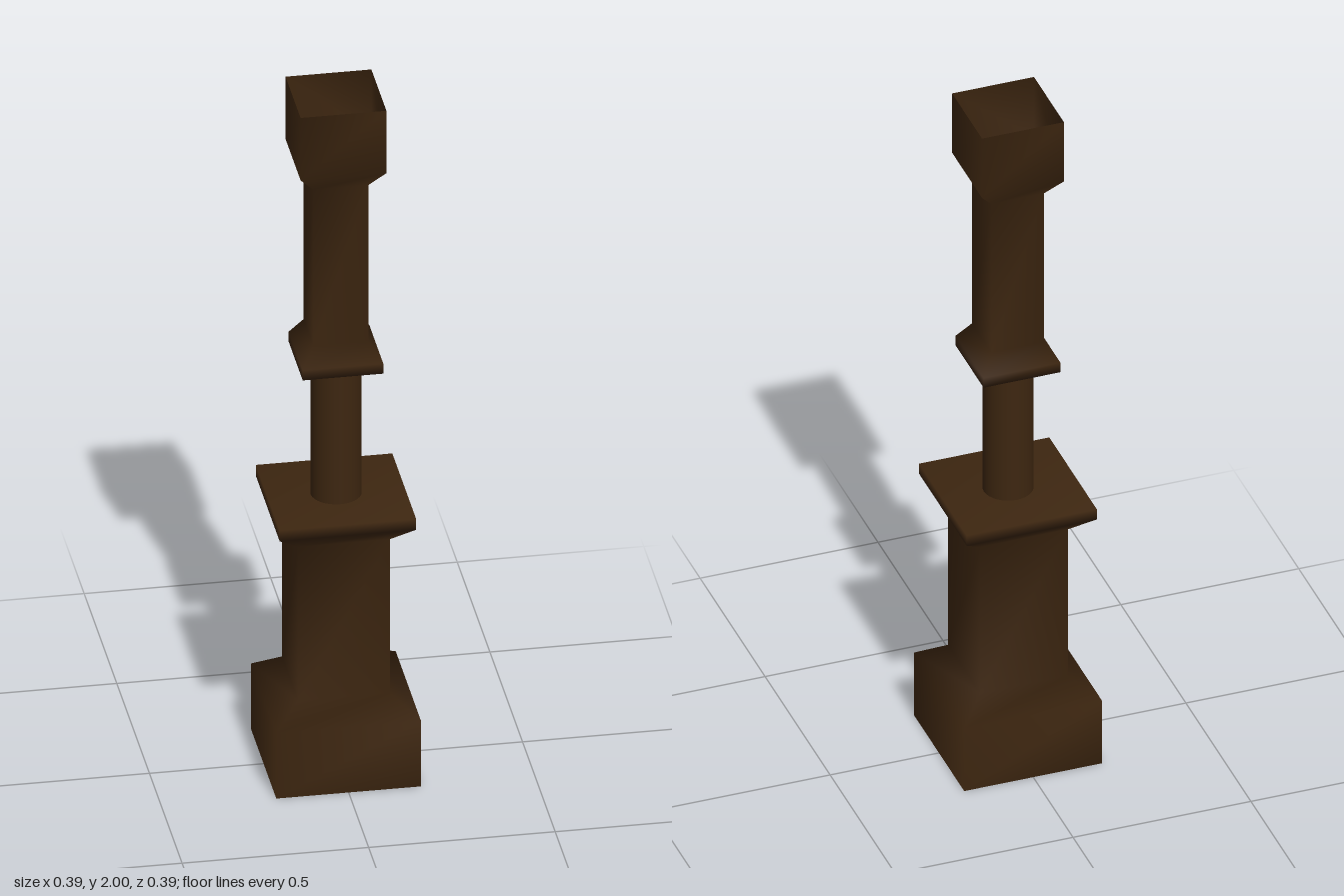
import * as THREE from 'three';

const wood = new THREE.MeshStandardMaterial({ color: 0x3d2610, side: THREE.DoubleSide });
wood.name = 'darkWood';

// Smooth square sleeve from [halfWidth, y] rings, bottom to top, closed at one end
function squareSleeve(profile, capTop) {
  const pos = [], idx = [];
  for (const [w, y] of profile) pos.push(-w, y, w, w, y, w, w, y, -w, -w, y, -w);
  for (let r = 0; r < profile.length - 1; r++) {
    for (let i = 0; i < 4; i++) {
      const a = r * 4 + i, b = r * 4 + (i + 1) % 4;
      idx.push(a, b, b + 4, a, b + 4, a + 4);
    }
  }
  const t = (profile.length - 1) * 4;
  if (capTop) idx.push(t, t + 1, t + 2, t, t + 2, t + 3);
  else idx.push(0, 2, 1, 0, 3, 2);
  const g = new THREE.BufferGeometry();
  g.setAttribute('position', new THREE.Float32BufferAttribute(pos, 3));
  g.setIndex(idx);
  g.computeVertexNormals();
  return g;
}

export function createModel() {
  const group = new THREE.Group();
  const add = (name, geometry, y = 0) => {
    const mesh = new THREE.Mesh(geometry, wood);
    mesh.name = name;
    mesh.position.y = y;
    group.add(mesh);
  };

  // Heavy foot, shaft and flange, hollow from below
  add('lowerSleeve', squareSleeve([
    [0.194, 0], [0.194, 0.197], [0.123, 0.25], [0.123, 0.713], [0.183, 0.768], [0.183, 0.8],
  ], true));

  // Round post joining the two sleeves
  add('post', new THREE.CylinderGeometry(0.068, 0.068, 0.405, 32, 1, true), 1.0025);

  // Collar, shaft and head, open at the top
  add('upperSleeve', squareSleeve([
    [0.108, 1.205], [0.108, 1.235], [0.074, 1.288], [0.074, 1.758], [0.115, 1.812], [0.115, 2],
  ], false));

  return group;
}
